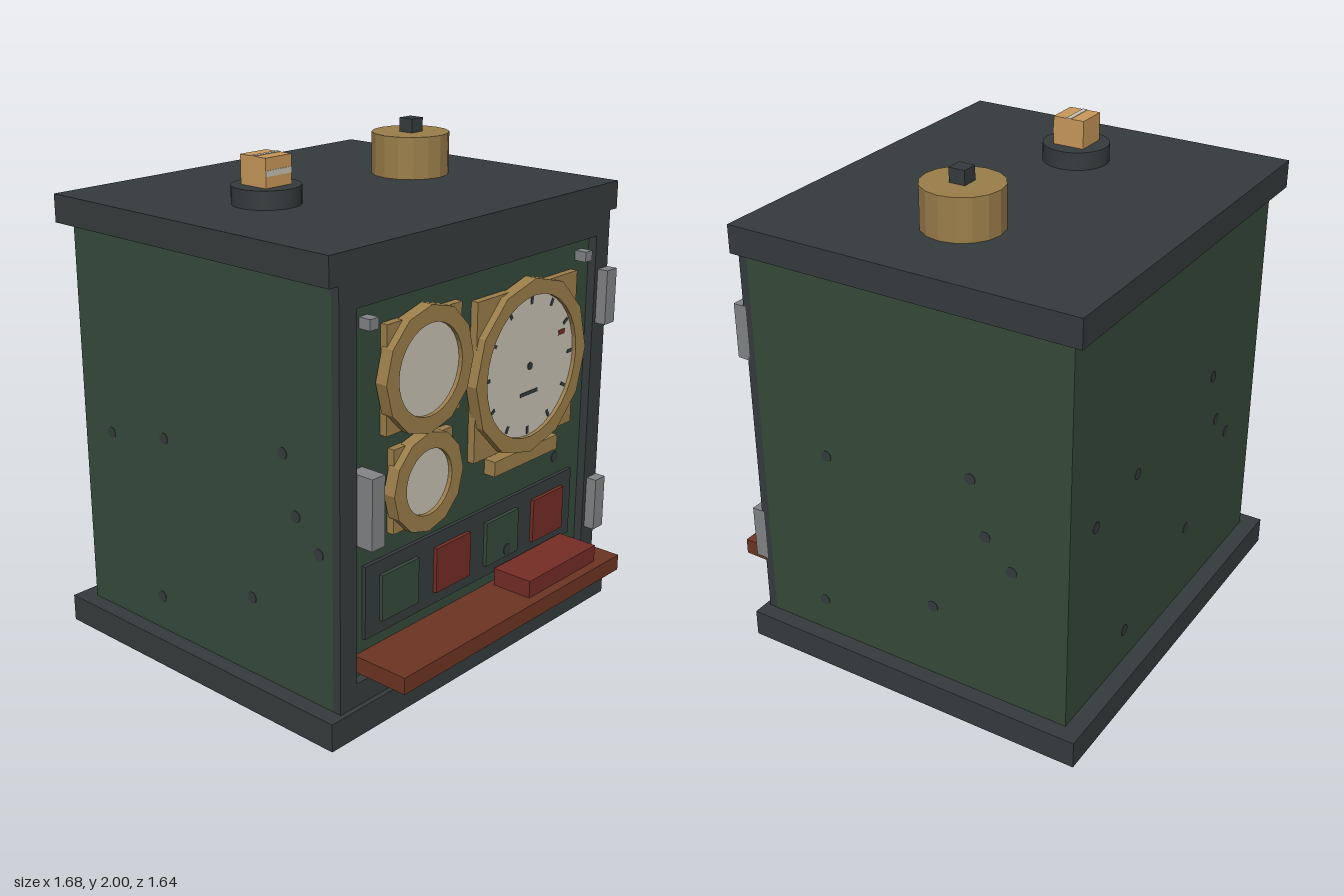
import * as THREE from 'three';
import { toCreasedNormals } from 'three/addons/utils/BufferGeometryUtils.js';

const mat = (name, color) => Object.assign(new THREE.MeshStandardMaterial({ color }), { name });

export function createModel() {
  const root = new THREE.Group();
  root.name = 'instrumentCabinet';
  const iron = mat('dark iron', 0x353b3d);
  const green = mat('painted green', 0x364a3b);
  const brass = mat('brass', 0x9b7e4a);
  const cream = mat('cream dial', 0xc9c3b4);
  const red = mat('red', 0x752d25);
  const wood = mat('red brown wood', 0x6c3422);
  const steel = mat('grey steel', 0x828486);
  const copper = mat('copper', 0xc9985b);

  const add = (name, geo, material, x = 0, y = 0, z = 0, parent = root) => {
    const m = new THREE.Mesh(geo, material);
    m.name = name;
    m.position.set(x, y, z);
    parent.add(m);
    return m;
  };
  // Box given by its lower and upper limits on each axis
  const box = (name, material, [x0, x1], [y0, y1], [z0, z1], parent = root) =>
    add(name, new THREE.BoxGeometry(x1 - x0, y1 - y0, z1 - z0), material,
      (x0 + x1) / 2, (y0 + y1) / 2, (z0 + z1) / 2, parent);
  const disc = (r, h, sides, crease = 0.3) =>
    toCreasedNormals(new THREE.CylinderGeometry(r, r, h, sides), crease);
  const polygon = (r, n) => Array.from({ length: n }, (_, i) => {
    const a = (i / n) * Math.PI * 2;
    return new THREE.Vector2(Math.cos(a) * r, Math.sin(a) * r);
  });
  const extrude = (shape, depth) =>
    new THREE.ExtrudeGeometry(shape, { depth, bevelEnabled: false });
  const rect = (x0, x1, y0, y1) => [[x0, y0], [x1, y0], [x1, y1], [x0, y1]].map(p => new THREE.Vector2(...p));

  // Cabinet shell
  box('base', iron, [-0.84, 0.84], [0, 0.11], [-0.82, 0.64]);
  box('body', green, [-0.775, 0.775], [0.11, 1.67], [-0.75, 0.585]);
  box('topSlab', iron, [-0.82, 0.82], [1.67, 1.78], [-0.8, 0.62]);
  const frame = new THREE.Shape(rect(-0.775, 0.775, 0.11, 1.67));
  frame.holes.push(new THREE.Path(rect(-0.69, 0.69, 0.2, 1.58)));
  add('frontFrame', extrude(frame, 0.04), iron, 0, 0, 0.58);

  // Gauges: square mount, twelve-sided bezel, round dial
  const gauge = (name, x, y, mount, outer, inner) => {
    const g = new THREE.Group();
    g.name = name;
    g.position.set(x, y, 0);
    root.add(g);
    box('mount', brass, [-mount, mount], [-mount, mount], [0.58, 0.615], g);
    const ring = new THREE.Shape(polygon(outer, 12));
    ring.holes.push(new THREE.Path(polygon(inner, 32)));
    add('bezel', extrude(ring, 0.05), brass, 0, 0, 0.595, g);
    add('dial', disc(inner + 0.005, 0.03, 32), cream, 0, 0, 0.614, g).rotation.x = Math.PI / 2;
    return g;
  };
  gauge('upperGauge', -0.335, 1.29, 0.2, 0.235, 0.17);
  gauge('lowerGauge', -0.335, 0.87, 0.16, 0.19, 0.125);
  const main = gauge('mainGauge', 0.265, 1.155, 0.31, 0.345, 0.28);
  for (let i = 0; i < 12; i++) {
    const a = (i / 12) * Math.PI * 2;
    const t = add('tick', new THREE.BoxGeometry(0.03, 0.014, 0.004), iron,
      Math.cos(a) * 0.258, Math.sin(a) * 0.258, 0.629, main);
    t.rotation.z = a;
  }
  add('hub', disc(0.015, 0.006, 10), iron, 0, 0, 0.63, main).rotation.x = Math.PI / 2;
  box('dialLabel', iron, [-0.055, 0.055], [-0.115, -0.1], [0.627, 0.631], main);
  box('pointerTip', red, [0.18, 0.22], [0.08, 0.1], [0.627, 0.631], main);
  box('namePlate', brass, [0.06, 0.46], [0.765, 0.825], [0.58, 0.635]);

  // Control panel with four keys
  box('controlPanel', iron, [-0.625, 0.62], [0.34, 0.625], [0.58, 0.6]);
  [-0.45, -0.15, 0.15, 0.45].forEach((x, i) =>
    box('key', i % 2 ? red : green, [x - 0.1, x + 0.1], [0.39, 0.57], [0.595, 0.615]));

  // Shelf with a red block resting on it
  box('shelf', wood, [-0.665, 0.665], [0.225, 0.29], [0.58, 0.82]);
  box('shelfBlock', red, [0.11, 0.55], [0.29, 0.36], [0.61, 0.78]);

  // Steel fittings
  for (const s of [-1, 1])
    box('cornerScrew', steel, [s * 0.62 - 0.022, s * 0.62 + 0.022], [1.495, 1.535], [0.58, 0.635]);
  for (const y of [0.34, 1.225])
    box('hinge', steel, [0.71, 0.775], [y, y + 0.22], [0.61, 0.665]);
  box('latch', steel, [-0.69, -0.625], [0.735, 1], [0.58, 0.69]);

  // Top fittings
  add('leftFoot', disc(0.13, 0.07, 32), iron, -0.4, 1.815, -0.09);
  box('copperBlock', copper, [-0.465, -0.335], [1.85, 1.96], [-0.155, -0.025]);
  box('blockStripe', cream, [-0.465, -0.335], [1.892, 1.914], [-0.027, -0.023]);
  box('blockStripe', cream, [-0.465, -0.335], [1.958, 1.962], [-0.1, -0.08]);
  add('brassDrum', disc(0.155, 0.165, 16), brass, 0.4, 1.8625, -0.09);
  box('drumPost', iron, [0.367, 0.433], [1.94, 2], [-0.12, -0.055]);

  // Worn spots, the same pattern turned onto every face
  const spots = [[0.59, 0.865], [0.28, 0.92], [0.33, 0.25], [-0.18, 0.42],
    [-0.35, 1.03], [-0.41, 0.81], [-0.52, 0.7]];
  const spot = disc(0.023, 0.004, 10);
  for (const [u, y] of spots) {
    add('backSpot', spot, iron, u, y, -0.75).rotation.x = Math.PI / 2;
    add('frontSpot', spot, iron, -u, y, y === 0.42 ? 0.616 : 0.586).rotation.x = Math.PI / 2;
    if (u < 0.56) add('rightSpot', spot, iron, 0.775, y, u).rotation.z = Math.PI / 2;
    add('leftSpot', spot, iron, -0.775, y, -u).rotation.z = Math.PI / 2;
  }
  return root;
}
